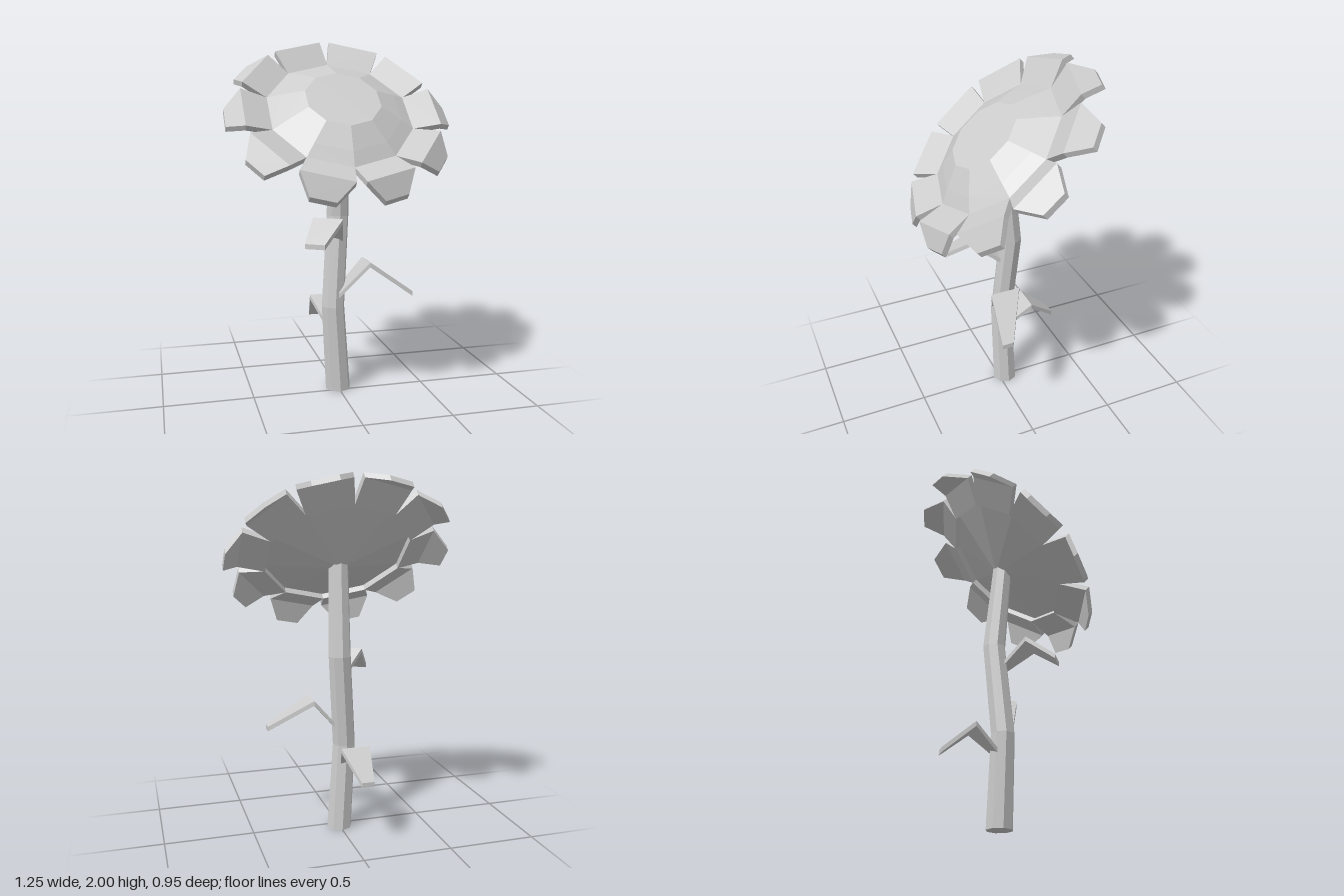
import * as THREE from 'three';

const material = new THREE.MeshStandardMaterial({ color: 0xcccccc, flatShading: true });

function part(name, geometry) {
  const mesh = new THREE.Mesh(geometry, material);
  mesh.name = name;
  return mesh;
}

// Folded plate: rows of [left, right] top corners from base to tip, thickened downwards
function plate(rows, thickness) {
  const out = [];
  const low = ([x, y, z]) => [x, y - thickness, z];
  const quad = (a, b, c, d) => out.push(...a, ...b, ...c, ...a, ...c, ...d);
  for (let i = 0; i < rows.length - 1; i++) {
    const [a0, b0] = rows[i], [a1, b1] = rows[i + 1];
    quad(a0, b0, b1, a1);
    quad(low(a0), low(a1), low(b1), low(b0));
    quad(b0, low(b0), low(b1), b1);
    quad(a1, low(a1), low(a0), a0);
  }
  const [a, b] = rows[0], [c, d] = rows[rows.length - 1];
  quad(a, low(a), low(b), b);
  quad(d, low(d), low(c), c);
  const geometry = new THREE.BufferGeometry();
  geometry.setAttribute('position', new THREE.Float32BufferAttribute(out, 3));
  geometry.computeVertexNormals();
  return geometry;
}

// Octagonal stem whose rings follow a crooked line of [x, y, z, radius]
function stemGeometry() {
  const rings = [[0, 0, -0.037, 0.072], [-0.031, 0.5, -0.028, 0.066],
    [0.006, 1.02, -0.068, 0.064], [0, 1.56, -0.02, 0.055]];
  const geometry = new THREE.CylinderGeometry(1, 1, 3, 8, 3);
  const p = geometry.attributes.position;
  for (let i = 0; i < p.count; i++) {
    const [x, y, z, r] = rings[Math.round(p.getY(i) + 1.5)];
    p.setXYZ(i, x + p.getX(i) * r, y, z + p.getZ(i) * r);
  }
  geometry.computeVertexNormals();
  return geometry;
}

export function createModel() {
  const model = new THREE.Group();
  model.name = 'flower';
  model.add(part('stem', stemGeometry()));

  // Three bent leaves around the stem
  const leaves = {
    leftLeaf: [
      [[-0.01, 0.585, -0.06], [-0.01, 0.585, 0.04]],
      [[0.15, 0.77, -0.06], [0.15, 0.77, 0.11]],
      [[0.39, 0.6, 0.08], [0.39, 0.6, 0.145]]],
    frontLeaf: [
      [[0.02, 0.905, 0], [-0.045, 0.92, -0.03]],
      [[-0.02, 1.03, 0.16], [-0.165, 1.03, 0.06]],
      [[-0.145, 0.912, 0.26], [-0.24, 0.912, 0.2]]],
    backLeaf: [
      [[-0.075, 0.41, -0.07], [0, 0.41, -0.07]],
      [[-0.13, 0.525, -0.2], [0.035, 0.525, -0.2]],
      [[-0.1, 0.38, -0.37], [-0.03, 0.38, -0.37]]],
  };
  for (const [name, rows] of Object.entries(leaves)) model.add(part(name, plate(rows, 0.027)));

  // Tilted head: ten-sided seed disc with a petal on each edge
  const head = new THREE.Group();
  head.name = 'head';
  head.position.set(0, 1.595, 0.015);
  head.rotation.x = 0.726;
  model.add(head);

  const profile = [[0, -0.115], [0.41, 0], [0.335, 0.042], [0.21, 0.105], [0, 0.105]];
  head.add(part('seedDisc', new THREE.LatheGeometry(profile.map(([x, y]) => new THREE.Vector2(x, y)), 10)));

  // Each petal row: half width, height, distance from the centre
  const petalRows = [[0.127, 0, 0.388], [0.145, 0.05, 0.535], [0.07, -0.03, 0.627]]
    .map(([w, y, z]) => [[w, y, z], [-w, y, z]]);
  const petalGeometry = plate(petalRows, 0.035);
  for (let i = 0; i < 10; i++) {
    const petal = part('petal', petalGeometry);
    petal.rotation.y = (i + 0.5) * Math.PI / 5;
    head.add(petal);
  }
  return model;
}
